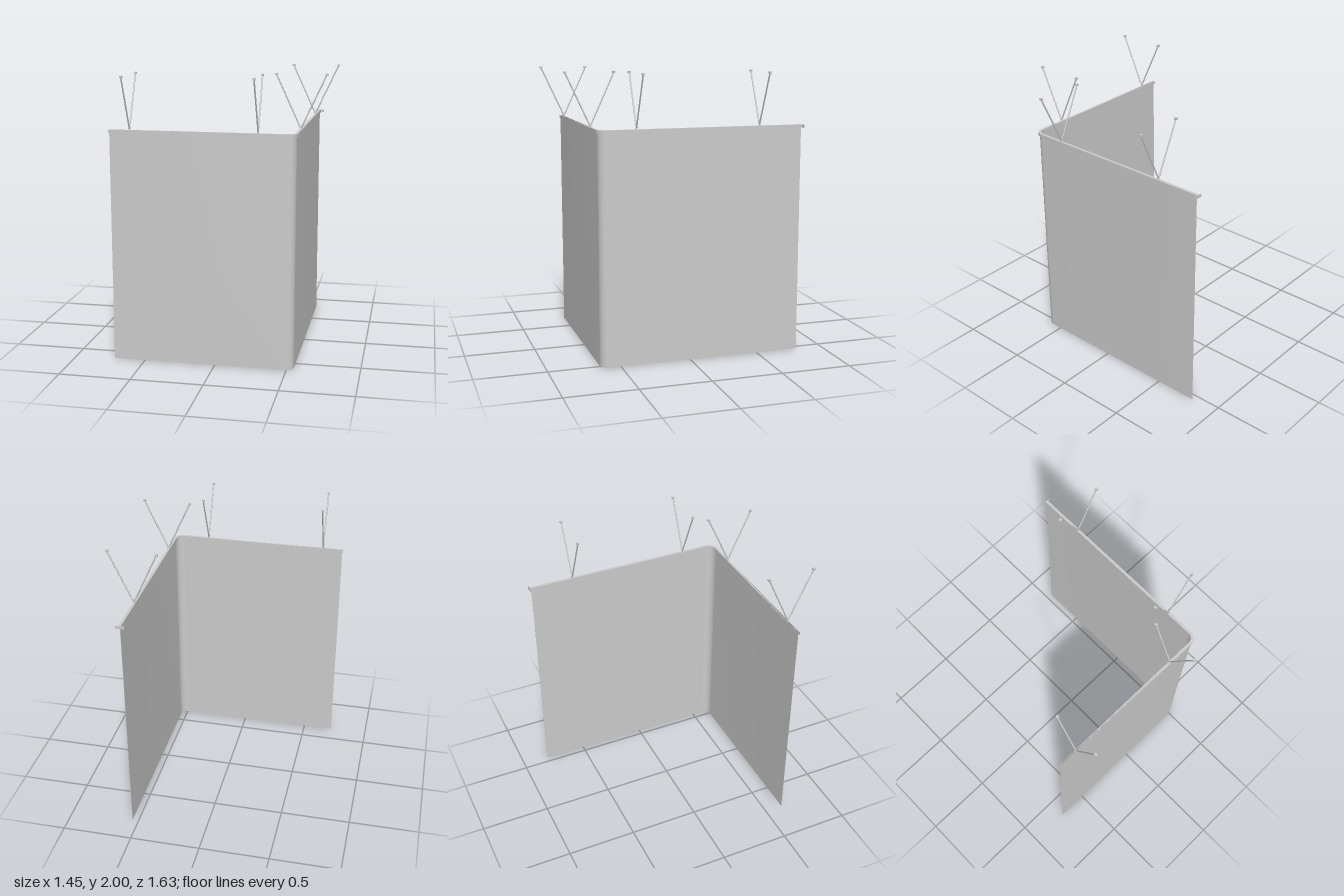
import * as THREE from 'three';
import { toCreasedNormals } from 'three/addons/utils/BufferGeometryUtils.js';

const mat = new THREE.MeshStandardMaterial({ color: 0xcccccc, side: THREE.DoubleSide });
const CORNER_X = 0.546, FRONT_Z = 0.636, RADIUS = 0.06;
const RAIL_TOP = 1.625, RAIL_BOTTOM = 1.603;

function add(parent, name, geometry, x = 0, y = 0, z = 0) {
  const mesh = new THREE.Mesh(geometry, mat);
  mesh.name = name;
  mesh.position.set(x, y, z);
  parent.add(mesh);
  return mesh;
}

// L-shaped strip between two offsets from the rail's centre line, with a rounded corner
function strip(inner, outer, y0, y1, startX, endZ) {
  const cx = CORNER_X - RADIUS, cy = RADIUS - FRONT_Z;
  const shape = new THREE.Shape();
  shape.moveTo(startX, -FRONT_Z - outer);
  shape.absarc(cx, cy, RADIUS + outer, -Math.PI / 2, 0, false);
  shape.lineTo(CORNER_X + outer, -endZ);
  shape.lineTo(CORNER_X + inner, -endZ);
  shape.absarc(cx, cy, RADIUS + inner, 0, -Math.PI / 2, true);
  shape.lineTo(startX, -FRONT_Z - inner);
  shape.closePath();
  const g = new THREE.ExtrudeGeometry(shape, { depth: y1 - y0, bevelEnabled: false, curveSegments: 16 });
  g.rotateX(-Math.PI / 2).translate(0, y0, 0);
  return toCreasedNormals(g, 0.6);
}

// V-shaped ceiling hanger spreading along its own x axis
function makeHanger() {
  const hanger = new THREE.Group();
  hanger.name = 'hanger';
  add(hanger, 'hangerFoot', new THREE.CylinderGeometry(0.005, 0.009, 0.018, 12), 0, RAIL_TOP + 0.007, 0);
  const up = new THREE.Vector3(0, 1, 0);
  for (const side of [-1, 1]) {
    const from = new THREE.Vector3(0, RAIL_TOP + 0.006, 0);
    const to = new THREE.Vector3(side * 0.168, 1.992, 0);
    const dir = to.clone().sub(from);
    const rod = add(hanger, 'hangerRod', new THREE.CylinderGeometry(0.005, 0.005, dir.length(), 12));
    rod.position.copy(from).add(to).multiplyScalar(0.5);
    rod.quaternion.setFromUnitVectors(up, dir.normalize());
    add(hanger, 'ceilingFoot', new THREE.BoxGeometry(0.018, 0.014, 0.017), side * 0.168, 1.993, 0);
  }
  return hanger;
}

export function createModel() {
  const model = new THREE.Group();
  model.name = 'cornerCurtain';

  // Hanging curtain sheet
  add(model, 'curtain', strip(-0.001, 0.001, 0, 1.62, -0.72, -0.806));

  // Rail: channel open underneath, with small lips
  const rail = new THREE.Group();
  rail.name = 'rail';
  model.add(rail);
  const piece = (name, a, b, y0, y1) => add(rail, name, strip(a, b, y0, y1, -0.725, -0.815));
  piece('railTop', -0.0095, 0.0095, RAIL_TOP - 0.003, RAIL_TOP);
  for (const s of [-1, 1]) {
    const between = (p, q) => [Math.min(s * p, s * q), Math.max(s * p, s * q)];
    piece('railWall', ...between(0.007, 0.0095), RAIL_BOTTOM, RAIL_TOP - 0.003);
    piece('railLip', ...between(0.003, 0.007), RAIL_BOTTOM, RAIL_BOTTOM + 0.0025);
  }

  // Wall plate at the back end of the rail
  add(model, 'wallPlate', new THREE.BoxGeometry(0.061, 0.021, 0.003), CORNER_X, 1.6135, -0.8165);

  // Hangers on both wings, spreading across the rail
  for (const x of [-0.577, 0.297]) {
    const h = makeHanger();
    h.position.set(x, 0, FRONT_Z);
    h.rotation.y = Math.PI / 2;
    model.add(h);
  }
  for (const z of [-0.494, 0.382]) {
    const h = makeHanger();
    h.position.set(CORNER_X, 0, z);
    model.add(h);
  }
  return model;
}
